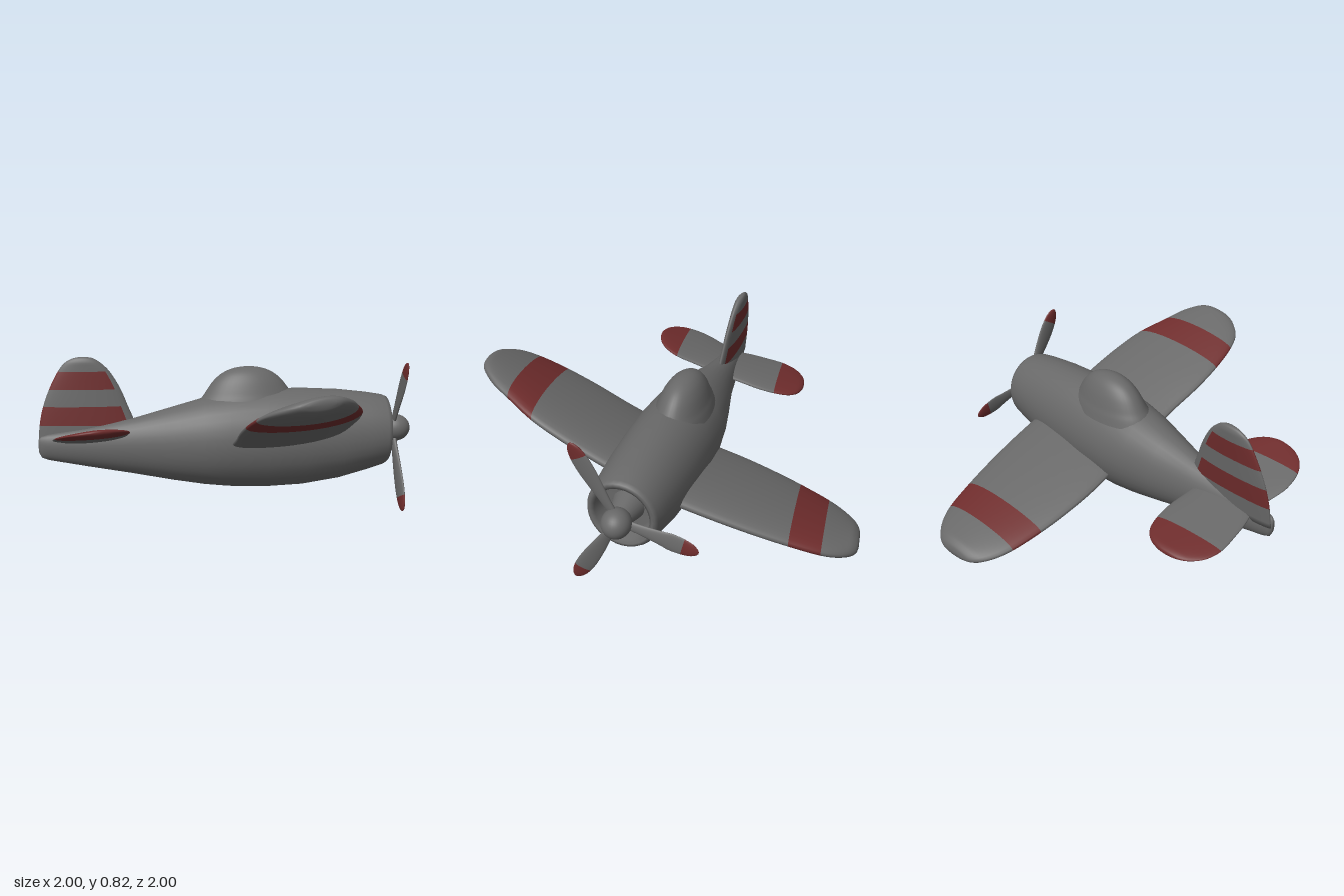
import * as THREE from 'three';

const grey = new THREE.MeshStandardMaterial({ color: 0x686868 });
grey.name = 'grey paint';
const red = new THREE.MeshStandardMaterial({ color: 0x6e2c2c });
red.name = 'red paint';

const SIDES = 32;

// Skin closed rings of points, cap both ends, and paint quads chosen by isRed(ring, side)
function loft(name, rings, isRed = () => false) {
  const n = rings[0].length;
  const pts = rings.flat();
  const parts = [[], []];
  rings.slice(1).forEach((_, i) => {
    for (let j = 0; j < n; j++) {
      const a = i * n + j, b = i * n + (j + 1) % n;
      parts[isRed(i, j) ? 1 : 0].push([a, b, b + n], [a, b + n, a + n]);
    }
  });
  for (const end of [0, rings.length - 1]) {
    const centre = new THREE.Vector3();
    rings[end].forEach(p => centre.addScaledVector(p, 1 / n));
    const c = pts.push(centre) - 1;
    const side = end ? rings.length - 2 : 0;
    for (let j = 0; j < n; j++) {
      const a = end * n + j, b = end * n + (j + 1) % n;
      parts[isRed(side, j) ? 1 : 0].push(end ? [a, b, c] : [b, a, c]);
    }
  }
  // Signed volume tells whether the faces point outwards
  const cross = new THREE.Vector3();
  let volume = 0;
  parts.flat().forEach(([a, b, c]) => { volume += pts[a].dot(cross.crossVectors(pts[b], pts[c])); });
  const [g, r] = parts.map(tris => tris.flatMap(([a, b, c]) => volume > 0 ? [a, b, c] : [a, c, b]));
  const geo = new THREE.BufferGeometry().setFromPoints(pts);
  geo.setIndex([...g, ...r]);
  geo.addGroup(0, g.length, 0);
  if (r.length) geo.addGroup(g.length, r.length, 1);
  geo.computeVertexNormals();
  const mesh = new THREE.Mesh(geo, [grey, red]);
  mesh.name = name;
  return mesh;
}

// Thin aerofoil panel from [span, trailing, leading] stations, placed by map(span, chord, thickness)
function panel(name, stations, thickness, map, stripes, noseGrey = false) {
  const curve = new THREE.CatmullRomCurve3(stations.map(s => new THREE.Vector3(...s)));
  const steps = (stations.length - 1) * 4;
  const rows = curve.getPoints(steps);
  const rings = rows.map((p, i) => {
    const mid = (p.y + p.z) / 2, half = (p.z - p.y) / 2;
    const t = thickness * (1 - 0.4 * i / steps) * Math.min(1, Math.sqrt((steps - i + 0.4) / 8));
    return Array.from({ length: SIDES }, (_, j) => {
      const a = j / SIDES * Math.PI * 2;
      return map(p.x, mid + half * Math.cos(a), t * Math.sin(a) * (0.85 + 0.15 * Math.cos(a)));
    });
  });
  return loft(name, rings, (i, j) => {
    const s = (rows[i].x + rows[i + 1].x) / 2;
    const nose = Math.cos((j + 0.5) / SIDES * Math.PI * 2) > 0.88;
    return !(noseGrey && nose) && stripes.some(([lo, hi]) => s > lo && s < hi);
  });
}

export function createModel() {
  const model = new THREE.Group();
  model.name = 'propeller plane';
  const V = (x, y, z) => new THREE.Vector3(x, y, z);
  const axisZ = x => 0.105 + 0.132 * (x - 0.87);

  // Fuselage: [x, bottom, top, half width]; the last rings fold into the cowl opening
  const body = [
    [-1, 0.33, 0.4, 0.01], [-0.985, 0.3, 0.415, 0.02], [-0.95, 0.287, 0.425, 0.03],
    [-0.75, 0.248, 0.455, 0.06], [-0.5, 0.202, 0.505, 0.099], [-0.3, 0.163, 0.56, 0.149],
    [-0.13, 0.135, 0.607, 0.188], [0, 0.121, 0.631, 0.208], [0.2, 0.113, 0.65, 0.218],
    [0.4, 0.121, 0.651, 0.214], [0.6, 0.151, 0.64, 0.204], [0.75, 0.193, 0.622, 0.191],
    [0.84, 0.222, 0.606, 0.18], [0.86, 0.235, 0.597, 0.17], [0.862, 0.25, 0.582, 0.157],
    [0.85, 0.27, 0.562, 0.14], [0.78, 0.275, 0.557, 0.135], [0.775, 0.29, 0.54, 0.12],
  ];
  model.add(loft('fuselage', body.map(([x, lo, hi, w]) => Array.from({ length: SIDES }, (_, j) => {
    const a = j / SIDES * Math.PI * 2, dz = w * Math.sin(a);
    return V(x - dz * 0.13, (lo + hi) / 2 + (hi - lo) / 2 * Math.cos(a), axisZ(x) + dz);
  }))));

  // Bell-shaped canopy flaring into the fuselage
  const bell = new THREE.SplineCurve([
    [1.12, 0], [1.03, 0.18], [0.94, 0.32], [0.85, 0.48], [0.73, 0.66],
    [0.56, 0.83], [0.36, 0.94], [0.16, 0.99], [0, 1],
  ].map(p => new THREE.Vector2(...p)));
  const canopy = new THREE.Mesh(new THREE.LatheGeometry(bell.getPoints(24), 40), grey);
  canopy.name = 'canopy';
  canopy.scale.set(0.25, 0.212, 0.132);
  canopy.position.set(0.115, 0.557, -0.022);
  canopy.rotation.set(-0.07, -0.14, 0);
  model.add(canopy);

  // Wings, banked with a little dihedral
  const wing = slope => (z, x, t) => V(x, 0.345 + slope * z + (x - 0.3) * 0.085 + t, z);
  model.add(panel('rightWing', [
    [0, -0.01, 0.62], [0.3, -0.03, 0.588], [0.5, -0.06, 0.555], [0.66, -0.07, 0.51],
    [0.81, -0.06, 0.43], [0.9, -0.03, 0.38], [0.96, 0.03, 0.325], [0.99, 0.08, 0.285], [1, 0.13, 0.25],
  ], 0.075, wing(0.437), [[0.66, 0.81]]));
  model.add(panel('leftWing', [
    [0, 0, 0.63], [-0.3, -0.005, 0.63], [-0.5, 0.015, 0.62], [-0.66, 0.045, 0.603],
    [-0.82, 0.09, 0.575], [-0.9, 0.13, 0.54], [-0.96, 0.18, 0.49], [-0.99, 0.23, 0.445], [-1, 0.28, 0.4],
  ], 0.075, wing(0.306), [[-0.82, -0.66]]));

  // Tailplane halves
  const tail = slope => (z, x, t) => V(x, 0.388 + slope * (z + 0.13) + (x + 0.72) * 0.04 + t, z);
  model.add(panel('rightTailplane', [
    [-0.13, -0.87, -0.53], [-0.03, -0.905, -0.54], [0.07, -0.935, -0.545], [0.17, -0.93, -0.55],
    [0.24, -0.895, -0.585], [0.285, -0.84, -0.64], [0.302, -0.79, -0.69], [0.308, -0.76, -0.72],
  ], 0.03, tail(0.32), [[0.17, 1]]));
  model.add(panel('leftTailplane', [
    [-0.08, -0.86, -0.54], [-0.2, -0.89, -0.53], [-0.32, -0.9, -0.512], [-0.415, -0.9, -0.515],
    [-0.49, -0.872, -0.535], [-0.54, -0.82, -0.58], [-0.563, -0.77, -0.635], [-0.57, -0.73, -0.67],
  ], 0.03, tail(0.2), [[-1, -0.415]]));

  // Fin with two bands that stop short of the leading edge
  model.add(panel('fin', [
    [0.36, -1, -0.46], [0.47, -0.99, -0.487], [0.57, -0.967, -0.525], [0.66, -0.932, -0.56],
    [0.755, -0.882, -0.615], [0.8, -0.845, -0.66], [0.822, -0.805, -0.695], [0.83, -0.77, -0.73],
  ], 0.038, (y, x, t) => V(x, y, -0.13 - 0.1 * (y - 0.45) + 0.15 * (x + 0.75) + t),
  [[0.47, 0.57], [0.66, 0.755]], true));

  // Propeller: spinner, shaft and three red-tipped blades
  const propeller = new THREE.Group();
  propeller.name = 'propeller';
  const hub = V(0.902, 0.42, 0.105);
  const spinner = new THREE.Mesh(new THREE.SphereGeometry(1, 28, 20), grey);
  spinner.name = 'spinner';
  spinner.scale.set(0.08, 0.073, 0.073);
  spinner.position.set(0.92, 0.42, 0.107);
  const shaft = new THREE.Mesh(new THREE.CylinderGeometry(0.05, 0.085, 0.13, 28), grey);
  shaft.name = 'shaft';
  shaft.rotation.set(0, -0.13, -Math.PI / 2);
  shaft.position.set(0.83, 0.418, 0.098);
  propeller.add(spinner, shaft);
  for (const [dz, dy] of [[0.215, 0.392], [0.235, -0.405], [-0.39, -0.095]]) {
    const length = Math.hypot(dz, dy);
    const along = V(-0.08 * dz, dy, dz).divideScalar(length);
    const across = V(0.1 * length, dz, -dy).divideScalar(length);
    const stations = [
      [0.03, 0.022], [0.12, 0.027], [0.22, 0.039], [length - 0.14, 0.046], [length - 0.08, 0.043],
      [length - 0.035, 0.033], [length - 0.01, 0.018], [length, 0.006],
    ].map(([r, w]) => [r, -w, w]);
    propeller.add(panel('blade', stations, 0.015, (r, c, t) =>
      hub.clone().addScaledVector(along, r).addScaledVector(across, c).add(V(t, 0, 0)),
    [[length - 0.08, 1]]));
  }
  model.add(propeller);
  return model;
}
